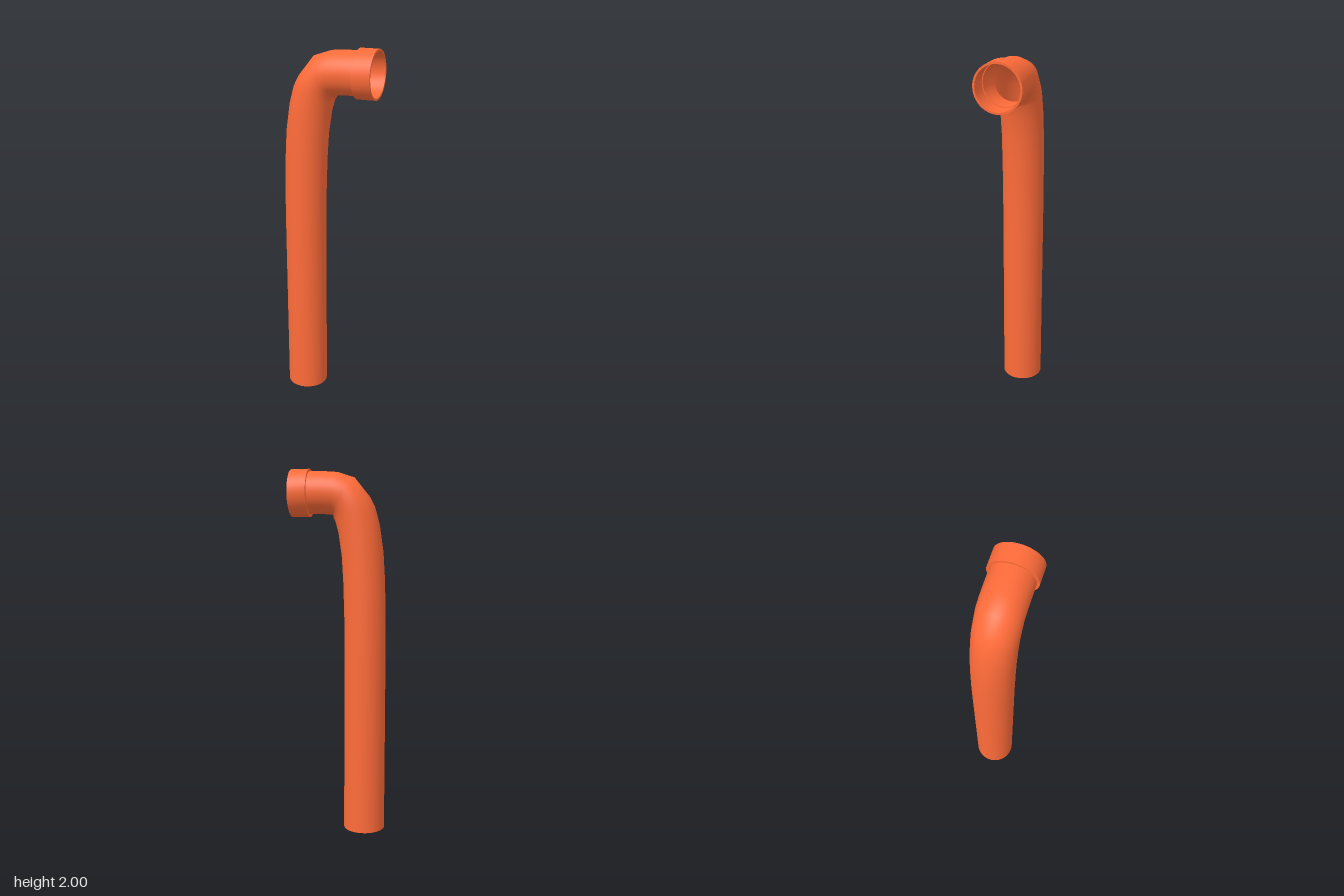
import * as THREE from 'three';
import { toCreasedNormals } from 'three/addons/utils/BufferGeometryUtils.js';

const PIPE_R = 0.114;
const SIDES = 48;

// Rings along the centreline, base to outlet: x, y, tilt in degrees (0 = upright, 90 = level)
const RINGS = [
  [-0.146, 0, 0], [-0.146, 1.0, 0], [-0.145, 1.2, 0.8], [-0.139, 1.4, 2.2],
  [-0.13, 1.545, 4.5], [-0.11, 1.68, 10], [-0.088, 1.76, 18], [-0.071, 1.79, 30],
  [-0.028, 1.852, 60], [0.018, 1.867, 84], [0.08, 1.872, 89], [0.162, 1.873, 90],
];

// Open cylinder whose rows are moved onto the rings
function bentPipe() {
  const rows = RINGS.length - 1;
  const geo = new THREE.CylinderGeometry(1, 1, 1, SIDES, rows, true);
  const pos = geo.attributes.position;
  const nor = geo.attributes.normal;
  for (let i = 0; i < pos.count; i++) {
    const row = rows - Math.floor(i / (SIDES + 1));
    const [cx, cy, deg] = RINGS[row];
    const a = THREE.MathUtils.degToRad(deg);
    const u = pos.getX(i), w = pos.getZ(i);
    const nx = u * Math.cos(a), ny = -u * Math.sin(a);
    pos.setXYZ(i, cx + nx * PIPE_R, cy + ny * PIPE_R, w * PIPE_R);
    nor.setXYZ(i, nx, ny, w);
  }
  return geo;
}

// Hollow socket turned around the outlet axis
function socket() {
  const profile = [
    [PIPE_R - 0.001, 0], [0.128, 0], [0.128, 0.1], [0.117, 0.1], [0.117, 0.002], [PIPE_R - 0.001, 0.002],
  ].map(([r, y]) => new THREE.Vector2(r, y));
  const geo = new THREE.LatheGeometry(profile, SIDES);
  geo.rotateZ(-Math.PI / 2);
  return toCreasedNormals(geo, Math.PI / 6);
}

export function createModel() {
  const group = new THREE.Group();
  group.name = 'bentPipe';
  const material = new THREE.MeshStandardMaterial({ color: 0xff6b39, side: THREE.DoubleSide });

  const pipe = new THREE.Mesh(bentPipe(), material);
  pipe.name = 'pipe';

  const collar = new THREE.Mesh(socket(), material);
  collar.name = 'socketCollar';
  collar.position.set(0.16, 1.872, 0);

  group.add(pipe, collar);
  return group;
}
